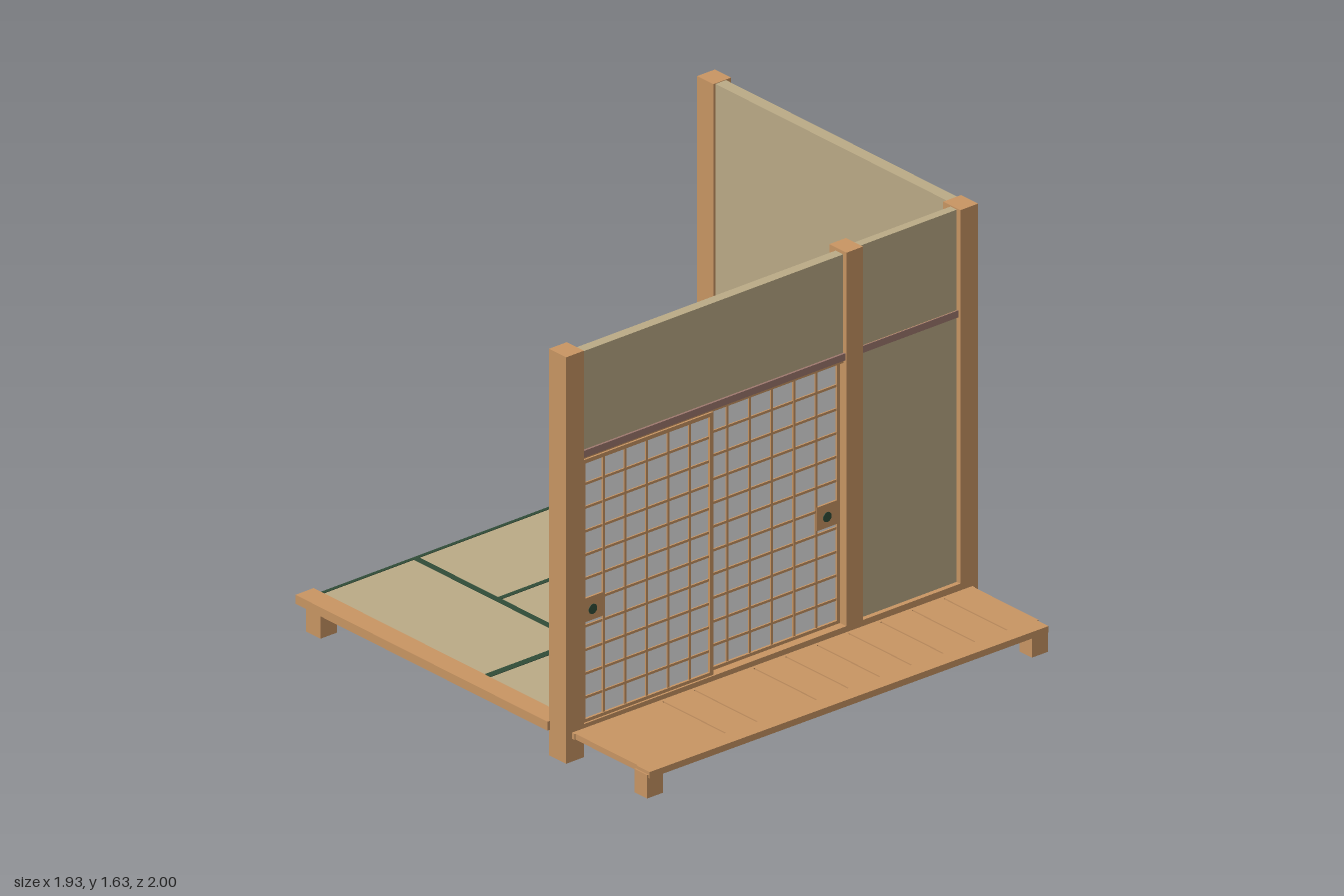
import * as THREE from 'three';

const paint = (name, color) => {
  const m = new THREE.MeshStandardMaterial({ color });
  m.name = name;
  return m;
};

export function createModel() {
  const wood = paint('wood', 0xc89563);
  const plaster = paint('plaster and straw', 0xbaaa86);
  const paper = paint('paper', 0xe7e7e7);
  const edging = paint('dark green edging', 0x304c38);
  const backing = paint('green mat backing', 0x00a63c);
  const lintelColor = paint('reddish lintel', 0x9e786e);

  const model = new THREE.Group();
  model.name = 'tatamiRoom';
  const group = (name) => {
    const g = new THREE.Group();
    g.name = name;
    model.add(g);
    return g;
  };

  // Box given by its minimum and maximum on each axis
  const box = (parent, name, mat, x0, x1, y0, y1, z0, z1) => {
    const mesh = new THREE.Mesh(new THREE.BoxGeometry(x1 - x0, y1 - y0, z1 - z0), mat);
    mesh.position.set((x0 + x1) / 2, (y0 + y1) / 2, (z0 + z1) / 2);
    mesh.name = name;
    parent.add(mesh);
  };

  // Posts and the short front foot
  const frame = group('frame');
  box(frame, 'backLeftPost', wood, -0.955, -0.865, 0, 1.63, -1, -0.915);
  box(frame, 'backRightPost', wood, 0.43, 0.525, 0, 1.635, -0.985, -0.9);
  box(frame, 'middlePost', wood, 0.43, 0.525, 0, 1.635, -0.435, -0.355);
  box(frame, 'frontPost', wood, 0.43, 0.525, 0, 1.635, 0.9, 0.985);
  box(frame, 'frontLeftFoot', wood, -0.92, -0.84, 0.005, 0.105, 0.905, 0.985);
  box(frame, 'frontBeam', wood, -0.965, 0.435, 0.104, 0.14, 0.91, 0.997);

  // Plaster walls
  const walls = group('walls');
  box(walls, 'backWall', plaster, -0.87, 0.44, 0.015, 1.628, -0.975, -0.925);
  box(walls, 'upperSideWall', plaster, 0.465, 0.507, 1.22, 1.622, -0.36, 0.905);
  box(walls, 'narrowSideWall', plaster, 0.47, 0.505, 0.1, 1.63, -0.905, -0.43);

  // Sill and lintel between the side posts, reddish on the outer side
  const rails = group('rails');
  box(rails, 'sill', wood, 0.455, 0.525, 0.09, 0.133, -0.9, 0.9);
  box(rails, 'lintel', wood, 0.457, 0.51, 1.187, 1.226, -0.36, 0.905);
  box(rails, 'lintelFace', lintelColor, 0.51, 0.519, 1.2, 1.228, -0.36, 0.905);
  box(rails, 'wallRail', wood, 0.462, 0.51, 1.2, 1.226, -0.905, -0.43);
  box(rails, 'wallRailFace', lintelColor, 0.51, 0.514, 1.2, 1.228, -0.905, -0.43);

  // Sliding paper screen: sheet, lattice and a pull at one end
  const screen = (name, x, z0, z1, pullZ) => {
    const g = group(name);
    const y0 = 0.13, y1 = 1.19, cols = 6, rows = 11;
    box(g, 'paperSheet', paper, x - 0.003, x + 0.003, y0, y1, z0, z1);
    for (let i = 0; i <= cols; i++) {
      const edge = i === 0 || i === cols;
      const w = edge ? 0.008 : 0.005, d = edge ? 0.013 : 0.009;
      const z = z0 + w + ((z1 - z0 - 2 * w) * i) / cols;
      box(g, 'uprightBar', wood, x - d, x + d, y0, y1, z - w, z + w);
    }
    for (let i = 0; i <= rows; i++) {
      const edge = i === 0 || i === rows;
      const w = edge ? 0.008 : 0.005, d = edge ? 0.0125 : 0.0085;
      const y = y0 + w + ((y1 - y0 - 2 * w) * i) / rows;
      box(g, 'crossBar', wood, x - d, x + d, y - w, y + w, z0, z1);
    }
    box(g, 'pullPlate', wood, x - 0.011, x + 0.011, 0.535, 0.63, pullZ - 0.048, pullZ + 0.048);
    const pull = new THREE.Mesh(new THREE.CylinderGeometry(0.02, 0.02, 0.026, 16), edging);
    pull.rotation.z = Math.PI / 2;
    pull.position.set(x, 0.578, pullZ);
    pull.name = 'pull';
    g.add(pull);
  };
  screen('frontScreen', 0.505, 0.275, 0.903, 0.85);
  screen('rearScreen', 0.477, -0.357, 0.29, -0.295);

  // Straw mats over a green backing
  const floor = group('floor');
  const mats = [
    [-0.93, -0.01, -0.925, -0.46], [-0.93, -0.475, -0.46, 0.455], [-0.475, -0.01, -0.46, 0.455],
    [-0.93, -0.01, 0.455, 0.912], [-0.01, 0.455, -0.925, -0.005], [-0.01, 0.455, -0.005, 0.912],
  ];
  for (const [x0, x1, z0, z1] of mats) {
    box(floor, 'matBacking', backing, x0 + 0.004, x1 - 0.004, 0.1, 0.122, z0 + 0.004, z1 - 0.004);
    box(floor, 'matTop', plaster, x0, x1, 0.122, 0.13, z0, z1);
  }
  // Edging strips along the seams and outer sides
  const strips = [
    [-0.937, -0.922, -0.925, 0.912], [0.442, 0.457, -0.925, 0.912], [-0.93, 0.45, -0.926, -0.912],
    [-0.93, 0.45, 0.904, 0.914], [-0.93, -0.01, -0.474, -0.447], [-0.93, -0.01, 0.442, 0.468],
    [-0.485, -0.465, -0.46, 0.455], [-0.032, 0.006, -0.925, 0.455], [-0.028, 0.002, 0.455, 0.912],
    [0, 0.45, -0.02, 0.012],
  ];
  for (const [x0, x1, z0, z1] of strips) box(floor, 'matEdging', edging, x0, x1, 0.102, 0.132, z0, z1);

  // Veranda, sloping slightly to the back: boards with gaps, rails, outer feet
  const veranda = group('veranda');
  veranda.rotation.x = -0.006;
  const cuts = [-0.958, -0.81, -0.657, -0.506, -0.354, -0.202, -0.052, 0.1, 0.385, 0.535, 0.958];
  for (let i = 0; i < cuts.length - 1; i++) {
    box(veranda, 'board', wood, 0.535, 0.895, 0.088, 0.111, cuts[i] + 0.0035, cuts[i + 1] - 0.0035);
  }
  box(veranda, 'innerRail', wood, 0.52, 0.54, 0.087, 0.111, -0.958, 0.958);
  box(veranda, 'outerRail', wood, 0.89, 0.962, 0.087, 0.113, -0.945, 0.962);
  for (const z of [-0.91, 0.93]) box(veranda, 'verandaFoot', wood, 0.885, 0.955, 0.006, 0.1, z - 0.038, z + 0.038);

  return model;
}
